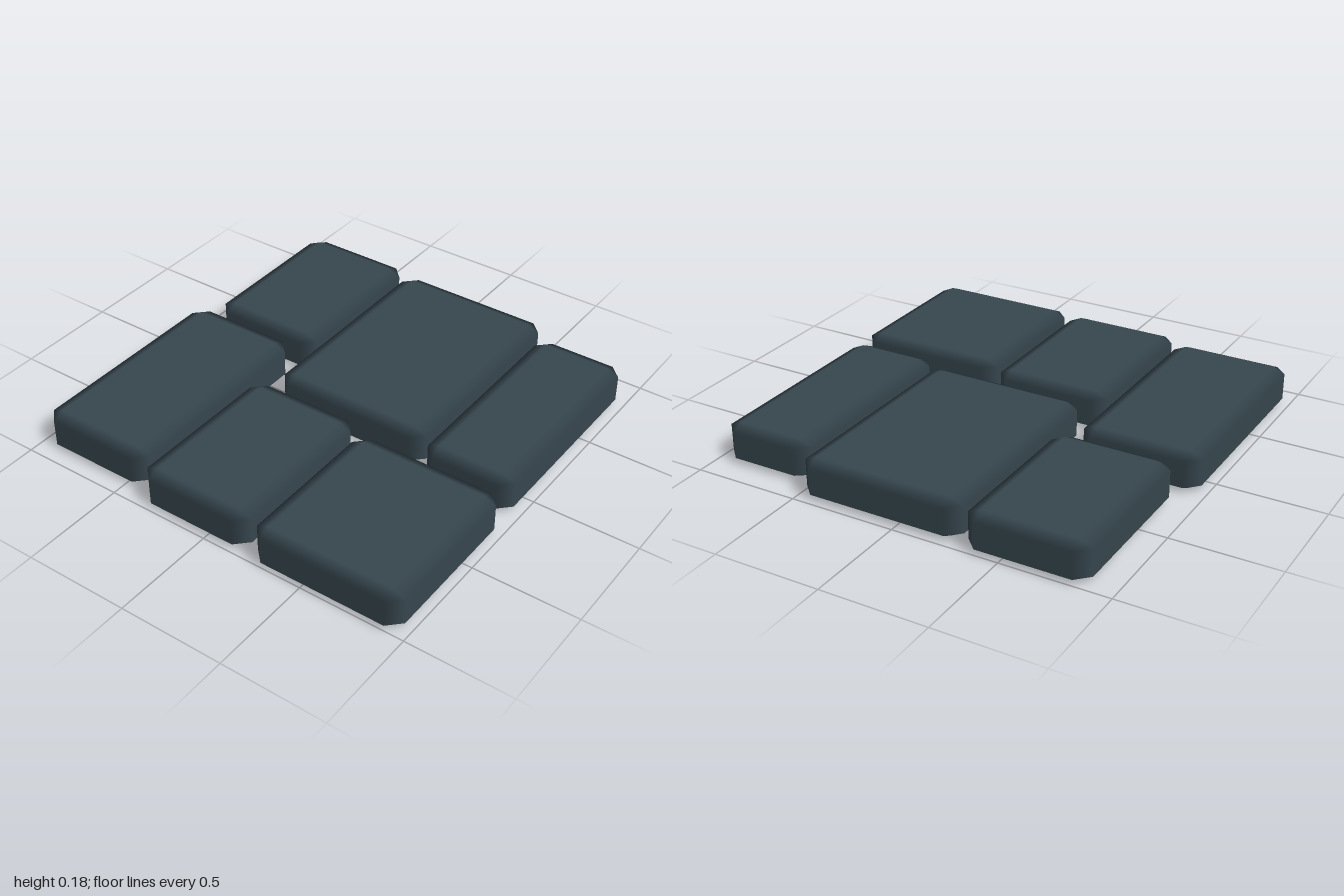
import * as THREE from 'three';
import { ConvexGeometry } from 'three/addons/geometries/ConvexGeometry.js';

const HEIGHT = 0.182;
const BEVEL = new THREE.Vector3(0.06, 0.028, 0.06);

// Block with bevelled edges and cut corners: each corner has one point per adjoining face.
// Normals follow the flat faces, so the shading blends only across the bevels.
function bevelledBlock(width, height, depth) {
  const half = [width / 2, height / 2, depth / 2];
  const inset = half.map((h, i) => h - BEVEL.getComponent(i));
  const points = [];
  for (const sx of [-1, 1]) for (const sy of [-1, 1]) for (const sz of [-1, 1]) {
    for (let axis = 0; axis < 3; axis++) {
      const p = [sx, sy, sz].map((s, i) => s * (i === axis ? half[i] : inset[i]));
      points.push(new THREE.Vector3(...p));
    }
  }
  const geometry = new ConvexGeometry(points);
  const pos = geometry.attributes.position;
  const normal = geometry.attributes.normal;
  for (let i = 0; i < pos.count; i++) {
    const n = half.map((h, axis) => {
      const v = pos.getComponent(i, axis);
      return Math.abs(v) > h - 1e-4 ? Math.sign(v) : 0;
    });
    normal.setXYZ(i, ...n);
  }
  return geometry;
}

export function createModel() {
  const group = new THREE.Group();
  group.name = 'pavingStones';
  const slate = new THREE.MeshStandardMaterial({ color: 0x37474f });
  slate.name = 'slate';

  // Each stone: name, x from/to, z from/to
  const stones = [
    ['backRightStone', -0.925, 0.148, -0.967, -0.403],
    ['backLeftStone', 0.185, 1.0, -0.888, -0.33],
    ['middleRightStone', -0.983, -0.165, -0.362, 0.199],
    ['middleLeftStone', -0.112, 0.975, -0.296, 0.485],
    ['frontRightStone', -1.0, -0.215, 0.242, 0.967],
    ['frontLeftStone', -0.165, 0.878, 0.522, 0.96],
  ];
  for (const [name, x0, x1, z0, z1] of stones) {
    const stone = new THREE.Mesh(bevelledBlock(x1 - x0, HEIGHT, z1 - z0), slate);
    stone.name = name;
    stone.position.set((x0 + x1) / 2, HEIGHT / 2, (z0 + z1) / 2);
    group.add(stone);
  }
  return group;
}
